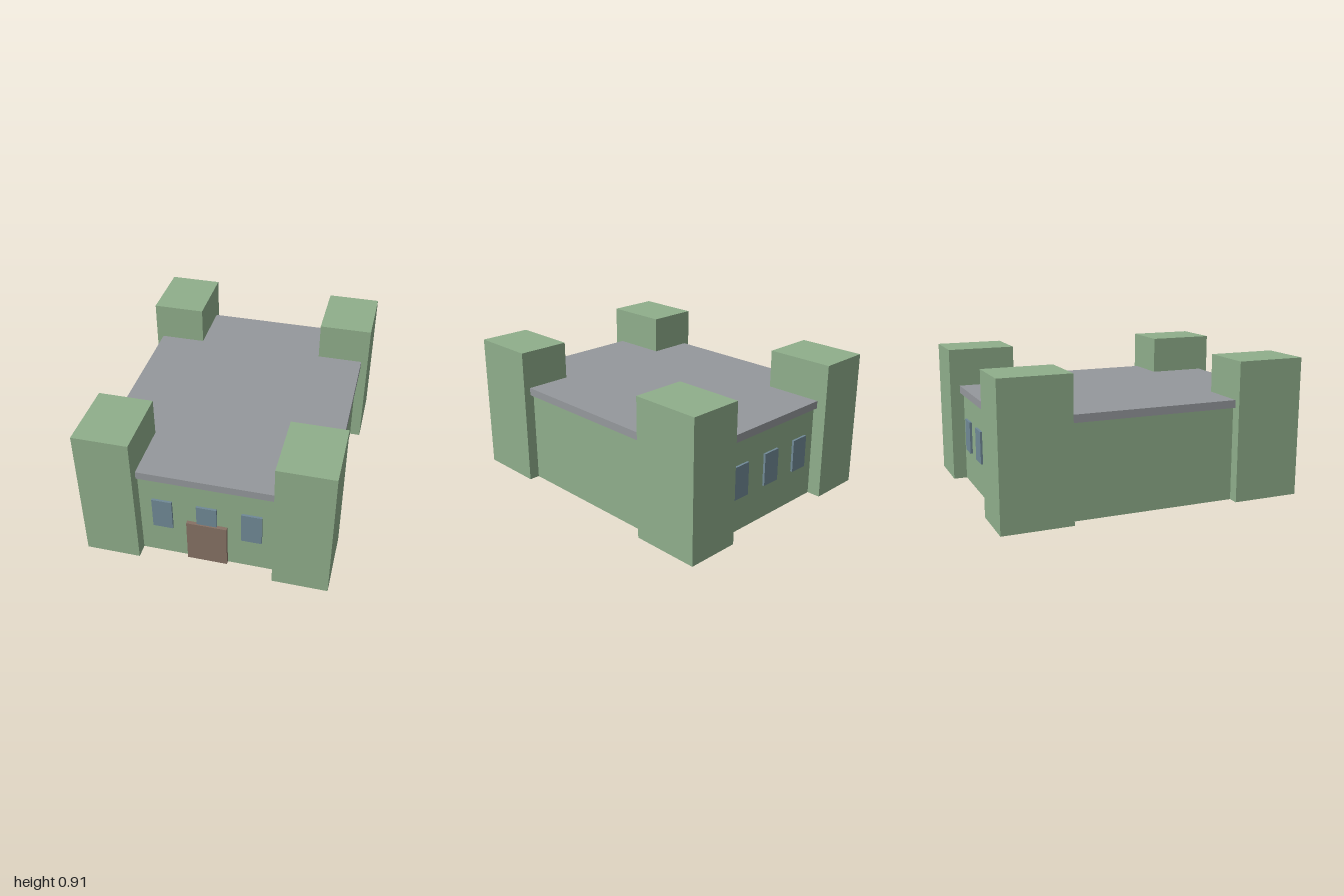
import * as THREE from 'three';

const paint = (name, color) => {
  const m = new THREE.MeshStandardMaterial({ color });
  m.name = name;
  return m;
};

export function createModel() {
  const green = paint('green wall', 0x8fae8b);
  const grey = paint('grey roof', 0x95989c);
  const blue = paint('blue window', 0x708996);
  const brown = paint('brown door', 0x867164);

  const model = new THREE.Group();
  model.name = 'fort';

  // Box given by its extents along each axis
  function block(name, material, [x0, x1], [y0, y1], [z0, z1]) {
    const mesh = new THREE.Mesh(new THREE.BoxGeometry(x1 - x0, y1 - y0, z1 - z0), material);
    mesh.position.set((x0 + x1) / 2, (y0 + y1) / 2, (z0 + z1) / 2);
    mesh.name = name;
    model.add(mesh);
  }

  // Main hall with an overhanging flat roof
  block('hall', green, [-0.71, 0.71], [0, 0.61], [-0.91, 0.91]);
  block('roof', grey, [-0.735, 0.735], [0.61, 0.66], [-0.935, 0.935]);

  // Four corner towers
  for (const sx of [-1, 1]) {
    for (const sz of [-1, 1]) {
      const x = [0.43 * sx, 0.78 * sx].sort((a, b) => a - b);
      const z = [0.55 * sz, 1 * sz].sort((a, b) => a - b);
      block('tower', green, x, [0, 0.91], z);
    }
  }

  // Three windows on the front and on the back
  for (const x of [-0.283, 0, 0.283]) {
    block('frontWindow', blue, [x - 0.064, x + 0.064], [0.227, 0.443], [0.9, 0.925]);
    block('backWindow', blue, [x - 0.064, x + 0.064], [0.227, 0.443], [-0.925, -0.9]);
  }

  // Front door
  block('door', brown, [-0.128, 0.128], [0, 0.303], [0.9, 0.934]);

  return model;
}
